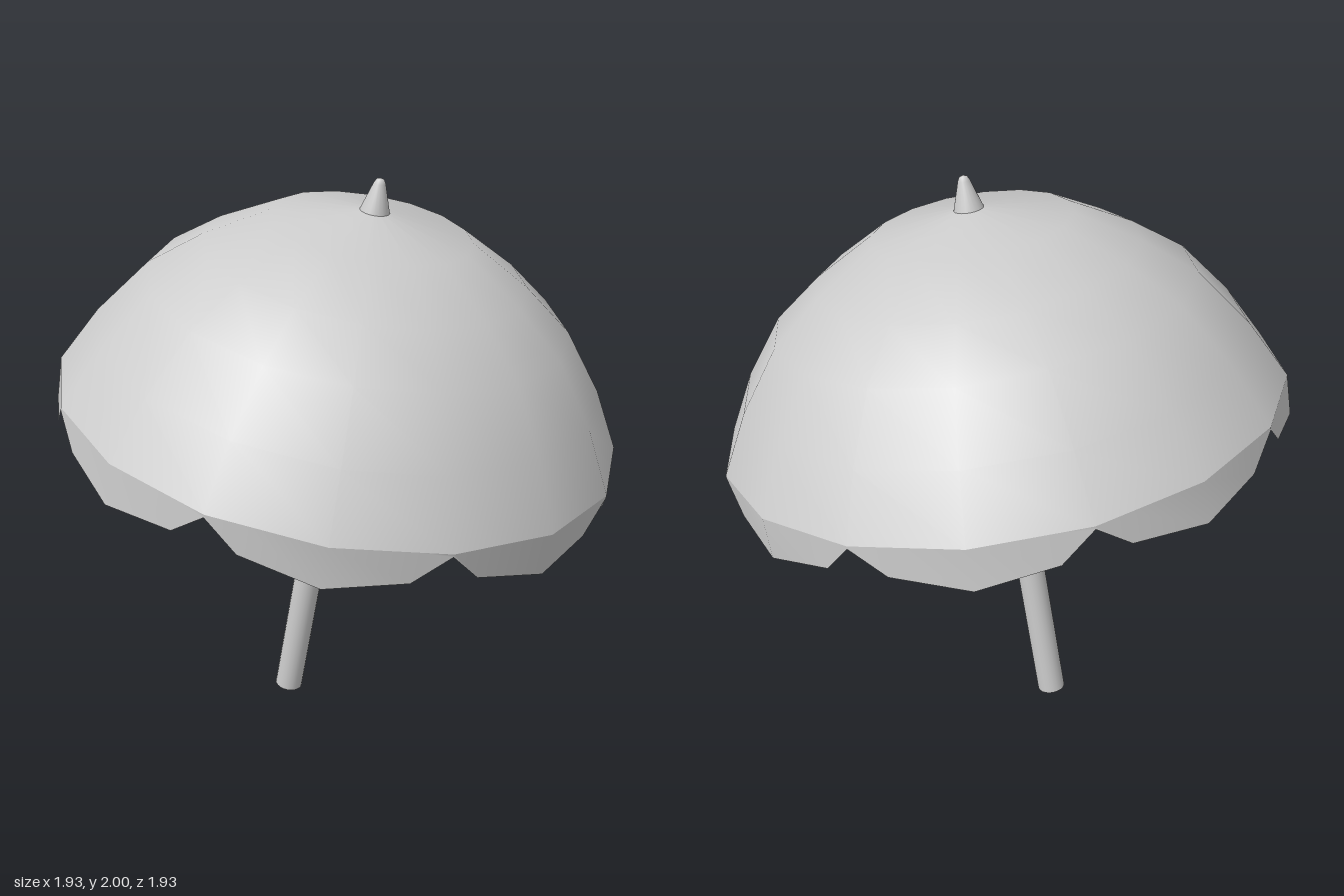
import * as THREE from 'three';

const SIDES = 16, RIM = 0.972, OFFSET = THREE.MathUtils.degToRad(6.5);
const grey = new THREE.MeshStandardMaterial({ color: 0xcccccc });
const greyThin = new THREE.MeshStandardMaterial({ color: 0xcccccc, side: THREE.DoubleSide });

function lathe(name, points, sides, material, start = 0) {
  const profile = points.map(([r, y]) => new THREE.Vector2(r, y));
  const mesh = new THREE.Mesh(new THREE.LatheGeometry(profile, sides, start), material);
  mesh.name = name;
  return mesh;
}

// Corner k of the sixteen-sided rim
function rimCorner(k) {
  const a = OFFSET + k * Math.PI * 2 / SIDES;
  return new THREE.Vector3(RIM * Math.cos(a), 0, RIM * Math.sin(a));
}

// Hanging strip with eight scalloped flaps, each two rim sides wide
function valanceGeometry() {
  const steps = [[0, 0.01], [0.3, 0.11], [1, 0.145], [1.7, 0.105]];
  const positions = [], index = [];
  for (let flap = 0; flap < SIDES / 2; flap++) {
    for (const [t, drop] of steps) {
      const k = flap * 2 + 1 + Math.floor(t);
      const p = rimCorner(k).lerp(rimCorner(k + 1), t % 1);
      positions.push(p.x, 0, p.z, p.x, -drop, p.z);
    }
  }
  const columns = positions.length / 6;
  for (let i = 0; i < columns; i++) {
    const a = i * 2, b = ((i + 1) % columns) * 2;
    index.push(a, b, a + 1, b, b + 1, a + 1);
  }
  const geometry = new THREE.BufferGeometry();
  geometry.setAttribute('position', new THREE.Float32BufferAttribute(positions, 3));
  geometry.setIndex(index);
  geometry.computeVertexNormals();
  return geometry;
}

export function createModel() {
  const parasol = new THREE.Group();
  parasol.name = 'parasol';

  // Canopy dome, open underneath
  parasol.add(lathe('canopy',
    [[RIM, 0], [0.863, 0.2], [0.715, 0.396], [0.547, 0.526], [0.339, 0.647], [0, 0.71]],
    SIDES, greyThin, Math.PI / 2 - OFFSET - 3 * Math.PI * 2 / SIDES));

  const valance = new THREE.Mesh(valanceGeometry(), greyThin);
  valance.name = 'valance';
  parasol.add(valance);

  // Pole from the ground to just under the crown
  const pole = new THREE.Mesh(new THREE.CylinderGeometry(0.05, 0.05, 1.9, 20), grey);
  pole.name = 'pole';
  pole.position.y = -1.211 + 0.95;
  parasol.add(pole);

  // Pointed finial with a rounded tip
  parasol.add(lathe('finial',
    [[0.05, 0.69], [0.05, 0.7], [0.02, 0.795], [0.013, 0.808], [0, 0.813]], 20, grey));

  // Lean the whole parasol to its left
  const axis = new THREE.Vector3(0.182, 0.983, -0.034).normalize();
  parasol.quaternion.setFromUnitVectors(new THREE.Vector3(0, 1, 0), axis);
  parasol.position.set(0.008, 1.2, 0.003);

  const model = new THREE.Group();
  model.name = 'leaningParasol';
  model.add(parasol);
  return model;
}
